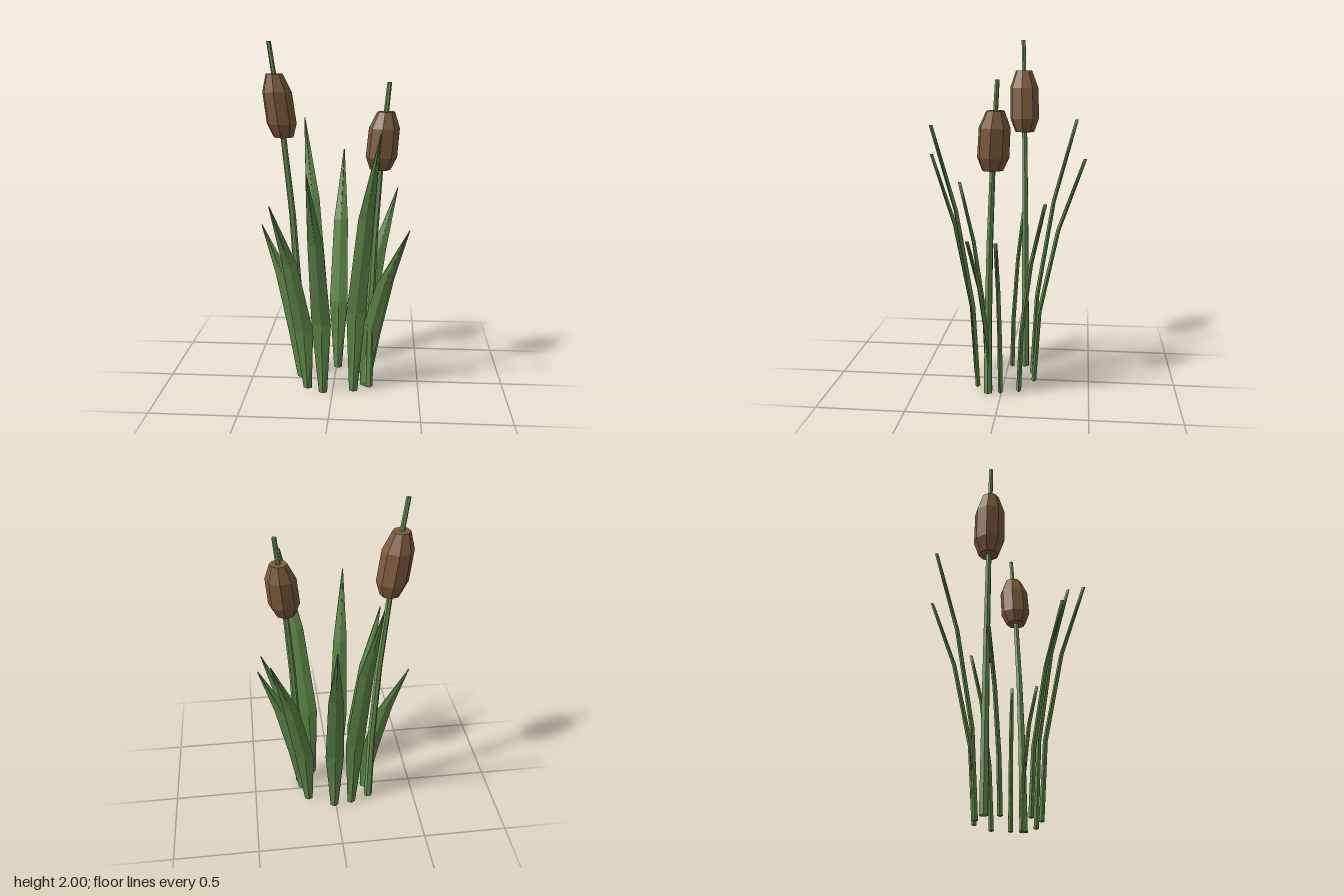
import * as THREE from 'three';

const leafGreen = new THREE.MeshStandardMaterial({ color: 0x5f8a4a });
const stemGreen = new THREE.MeshStandardMaterial({ color: 0x6a9455 });
const seedBrown = new THREE.MeshStandardMaterial({ color: 0x7b5b3d });
leafGreen.name = 'leaf green';
stemGreen.name = 'stem green';
seedBrown.name = 'seed head brown';
for (const m of [leafGreen, stemGreen, seedBrown]) m.flatShading = true;

// Plants bend outward with the square of their height.
function bend(plant, y) {
  const k = (y / plant.height) ** 2;
  return [
    plant.base[0] + (plant.tip[0] - plant.base[0]) * k,
    plant.base[1] + (plant.tip[1] - plant.base[1]) * k,
  ];
}

// Closed solid from horizontal rings [y, halfWidthX, halfDepthZ] along the bent centre line.
function bentSolid(plant, rings, sides, turn = 0) {
  const pos = [];
  const index = [];
  for (const [y, rx, rz] of rings) {
    const [cx, cz] = bend(plant, y);
    for (let s = 0; s < sides; s++) {
      const a = turn + (s / sides) * Math.PI * 2;
      pos.push(cx + Math.cos(a) * rx, y, cz + Math.sin(a) * rz);
    }
  }
  for (let r = 0; r < rings.length - 1; r++) {
    for (let s = 0; s < sides; s++) {
      const a = r * sides + s;
      const b = r * sides + ((s + 1) % sides);
      index.push(a, a + sides, b, b, a + sides, b + sides);
    }
  }
  // End caps
  const top = (rings.length - 1) * sides;
  for (let s = 1; s < sides - 1; s++) {
    index.push(0, s, s + 1, top, top + s + 1, top + s);
  }
  const geometry = new THREE.BufferGeometry();
  geometry.setAttribute('position', new THREE.Float32BufferAttribute(pos, 3));
  geometry.setIndex(index);
  const flat = geometry.toNonIndexed();
  flat.computeVertexNormals();
  return flat;
}

function addMesh(group, name, geometry, material) {
  const mesh = new THREE.Mesh(geometry, material);
  mesh.name = name;
  group.add(mesh);
}

export function createModel() {
  const model = new THREE.Group();
  model.name = 'cattails';

  // Leaf blades: base and tip as [x, z]
  const leaves = [
    { base: [0.195, 0.007], tip: [0.435, 0.005], height: 0.94 },
    { base: [0.182, 0.068], tip: [0.41, 0.16], height: 0.94 },
    { base: [0.12, 0.148], tip: [0.265, 0.372], height: 1.54 },
    { base: [-0.055, 0.18], tip: [-0.115, 0.45], height: 1.34 },
    { base: [-0.15, 0.128], tip: [-0.33, 0.32], height: 1.14 },
    { base: [-0.202, -0.025], tip: [-0.435, -0.072], height: 0.94 },
    { base: [-0.1, -0.158], tip: [-0.21, -0.402], height: 1.54 },
    { base: [0.01, -0.175], tip: [0.03, -0.455], height: 1.34 },
    { base: [0.165, -0.097], tip: [0.365, -0.25], height: 1.14 },
  ];
  leaves.forEach((leaf, i) => {
    const h = leaf.height;
    const rings = [
      [0, 0.024, 0.014],
      [h * 0.32, 0.055, 0.013],
      [h * 0.69, 0.042, 0.012],
      [h, 0.003, 0.01],
    ];
    addMesh(model, `leaf${i + 1}`, bentSolid(leaf, rings, 4), leafGreen);
  });

  // Stalks with a seed head each
  const stalks = [
    { base: [-0.215, -0.105], tip: [-0.375, -0.073], height: 2, head: [1.46, 1.82] },
    { base: [0.207, 0.077], tip: [0.305, 0.008], height: 1.78, head: [1.3, 1.62] },
  ];
  stalks.forEach((stalk, i) => {
    const stemRings = [0, 0.25, 0.5, 0.75, 1].map((t) => {
      const r = 0.026 - 0.013 * t;
      return [stalk.height * t, r, r];
    });
    addMesh(model, `stem${i + 1}`, bentSolid(stalk, stemRings, 6), stemGreen);

    const [low, high] = stalk.head;
    const headRings = [[0, 0.058], [0.22, 0.088], [0.72, 0.086], [1, 0.049]]
      .map(([t, r]) => [low + (high - low) * t, r, r]);
    addMesh(model, `seedHead${i + 1}`, bentSolid(stalk, headRings, 8, 0.1), seedBrown);
  });

  return model;
}
